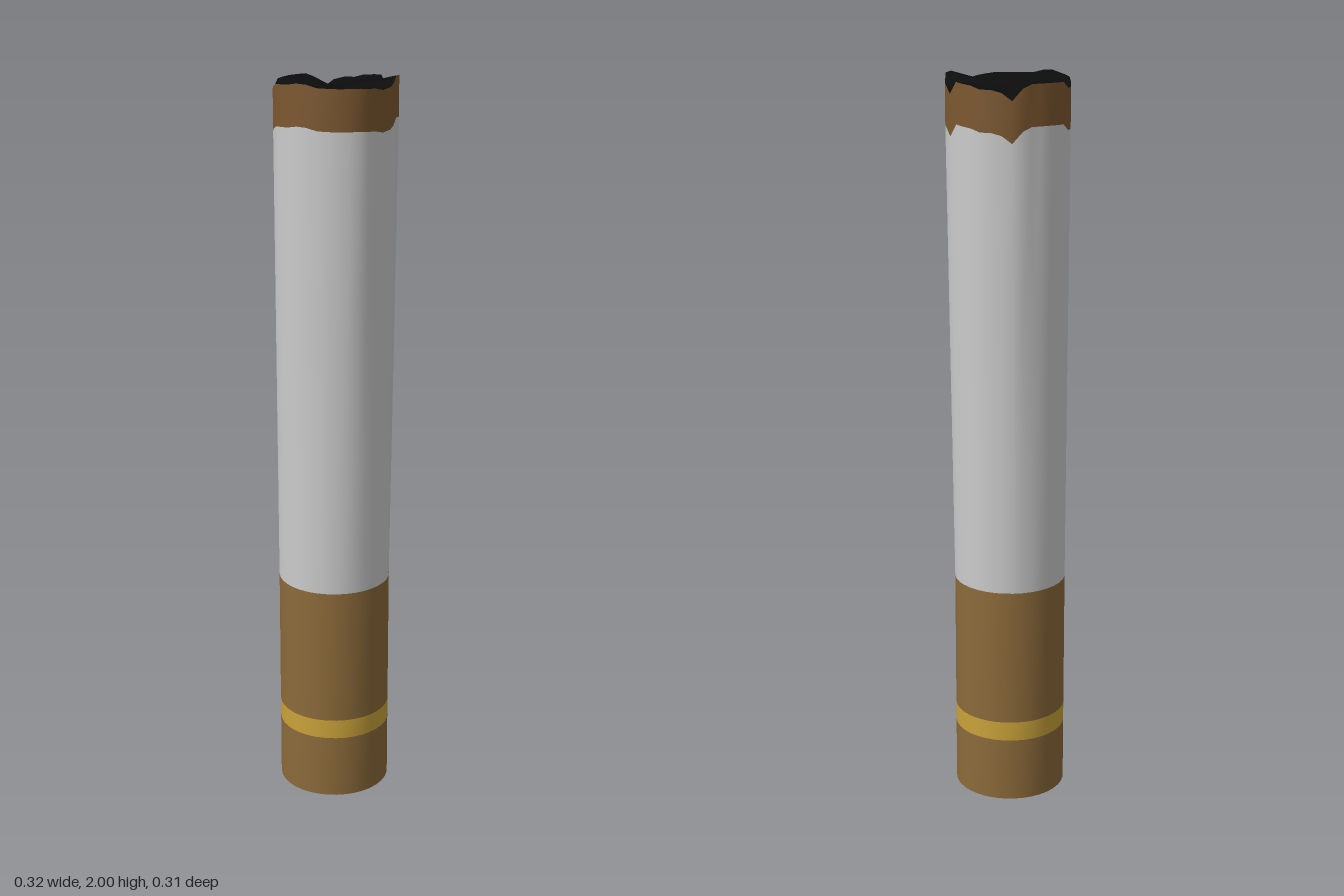
import * as THREE from 'three';

const SEGMENTS = 36;

// Torn rim: [angle in degrees from +z towards +x, height, radius]
const RIM = [
  [0, 1.985, 0.156], [20, 1.985, 0.158], [40, 1.98, 0.15], [50, 1.974, 0.15],
  [60, 1.978, 0.155], [70, 1.985, 0.154], [80, 2.0, 0.155], [90, 1.998, 0.162],
  [100, 1.975, 0.163], [110, 1.968, 0.162], [120, 1.952, 0.162], [130, 1.985, 0.159],
  [150, 1.98, 0.159], [160, 1.972, 0.161], [170, 1.972, 0.158], [180, 1.965, 0.157],
  [190, 1.945, 0.158], [200, 1.975, 0.158], [210, 1.985, 0.15], [230, 1.985, 0.154],
  [250, 1.983, 0.158], [260, 1.965, 0.161], [270, 1.965, 0.162], [280, 1.975, 0.163],
  [290, 1.985, 0.164], [310, 1.99, 0.165], [325, 1.998, 0.162], [340, 1.987, 0.158],
  [360, 1.985, 0.156],
];

function rimAt(deg) {
  const i = Math.max(1, RIM.findIndex((p) => p[0] >= deg));
  const [a0, y0, r0] = RIM[i - 1];
  const [a1, y1, r1] = RIM[i];
  const t = (deg - a0) / (a1 - a0);
  return { y: y0 + (y1 - y0) * t, r: r0 + (r1 - r0) * t };
}

// One cross-section; height is a number or a rule taking the rim height
function ring(height) {
  return Array.from({ length: SEGMENTS }, (_, i) => {
    const deg = (i * 360) / SEGMENTS;
    const a = THREE.MathUtils.degToRad(deg);
    const rim = rimAt(deg);
    const y = typeof height === 'function' ? height(rim.y) : height;
    // Straight at the filter, drifting towards the uneven rim higher up
    const t = THREE.MathUtils.clamp((y - 0.62) / 1.25, 0, 1);
    const r = THREE.MathUtils.lerp(0.153, rim.r, t);
    return new THREE.Vector3(r * Math.sin(a) - 0.005 * (1 - t), y, r * Math.cos(a) + 0.002 * (1 - t));
  });
}

// Skin over consecutive rings, bottom to top
function loft(rings) {
  const index = [];
  for (let k = 0; k < rings.length - 1; k++) {
    for (let i = 0; i < SEGMENTS; i++) {
      const j = (i + 1) % SEGMENTS;
      const a = k * SEGMENTS + i, b = k * SEGMENTS + j;
      index.push(a, b, b + SEGMENTS, a, b + SEGMENTS, a + SEGMENTS);
    }
  }
  return finish(rings.flat(), index);
}

// Fan closing a ring towards a centre point
function cap(points, centre, up) {
  const index = [];
  for (let i = 0; i < SEGMENTS; i++) {
    const j = (i + 1) % SEGMENTS;
    index.push(SEGMENTS, up ? i : j, up ? j : i);
  }
  return finish([...points, centre], index);
}

function finish(points, index) {
  const geometry = new THREE.BufferGeometry().setFromPoints(points);
  geometry.setIndex(index);
  geometry.computeVertexNormals();
  return geometry;
}

export function createModel() {
  const group = new THREE.Group();
  const add = (name, geometry, color) => {
    const material = new THREE.MeshStandardMaterial({ color, side: THREE.DoubleSide });
    const mesh = new THREE.Mesh(geometry, material);
    mesh.name = name;
    group.add(mesh);
  };

  const rim = ring((y) => y);
  const scorchLine = ring((y) => y - 0.107);

  // Filter wrapping with its gold band
  add('filterEnd', loft([ring(0), ring(0.18)]), 0x8b6a3a);
  add('goldBand', loft([ring(0.18), ring(0.235)]), 0xc9a23a);
  add('filterWrap', loft([ring(0.235), ring(0.62)]), 0x8b6a3a);

  // Paper tube and its scorched, torn edge
  add('paperTube', loft([ring(0.62), ring(1.0), ring(1.4), scorchLine]), 0xcccccc);
  add('scorchedEdge', loft([scorchLine, rim]), 0x7c5830);

  // Dark ends
  add('burntTip', cap(rim, new THREE.Vector3(0, 1.965, 0), true), 0x0c0c0c);
  add('filterBase', cap(ring(0), new THREE.Vector3(-0.005, 0, 0.002), false), 0x0c0c0c);

  return group;
}
